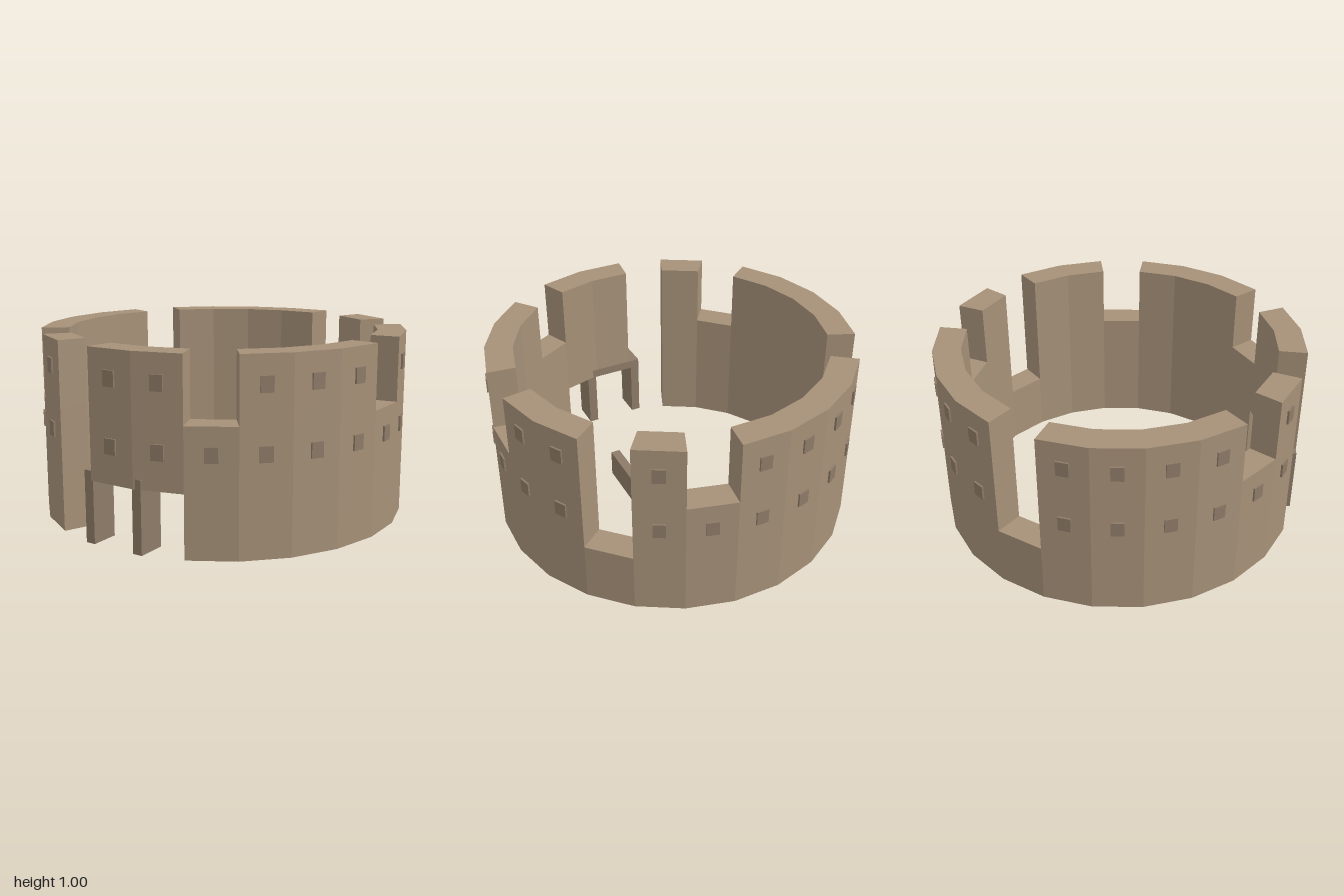
import * as THREE from 'three';

const SIDES = 24, STEP = (Math.PI * 2) / SIDES;
const APOTHEM = 0.99;
const OUTER = APOTHEM / Math.cos(STEP / 2);
const INNER = 0.84 / Math.cos(STEP / 2);
const LEVELS = [0, 0.33, 0.66, 1];

// Which of the three courses each wall segment keeps (segment 0 faces front, counting toward +x)
const cutSegments = {
  1: [0, 1, 1],  // doorway
  0: [0, 1, 1],
  23: [0, 0, 0], // full breach beside the door
  2: [1, 1, 0], 6: [1, 1, 0], 11: [1, 1, 0], 21: [1, 1, 0], // shallow gaps
  9: [1, 0, 0], 16: [1, 0, 0], // deep gaps
};
const courses = (k) => cutSegments[(k + SIDES) % SIDES] ?? [1, 1, 1];

// Ring wall: every kept cell adds only its exposed faces
function wallGeometry() {
  const pos = [];
  const quad = (a, b, c, d) => pos.push(...a, ...b, ...c, ...a, ...c, ...d);
  for (let k = 0; k < SIDES; k++) {
    for (let l = 0; l < 3; l++) {
      if (!courses(k)[l]) continue;
      const corner = (r, side, up) => {
        const t = (k - 0.5 + side) * STEP;
        return [r * Math.sin(t), LEVELS[l + up], r * Math.cos(t)];
      };
      const o = (s, u) => corner(OUTER, s, u);
      const i = (s, u) => corner(INNER, s, u);
      quad(o(0, 0), o(1, 0), o(1, 1), o(0, 1));
      quad(i(1, 0), i(0, 0), i(0, 1), i(1, 1));
      if (!courses(k)[l + 1]) quad(o(0, 1), o(1, 1), i(1, 1), i(0, 1));
      if (!courses(k)[l - 1]) quad(i(0, 0), i(1, 0), o(1, 0), o(0, 0));
      if (!courses(k + 1)[l]) quad(o(1, 0), i(1, 0), i(1, 1), o(1, 1));
      if (!courses(k - 1)[l]) quad(i(0, 0), o(0, 0), o(0, 1), i(0, 1));
    }
  }
  const geo = new THREE.BufferGeometry();
  geo.setAttribute('position', new THREE.Float32BufferAttribute(pos, 3));
  geo.computeVertexNormals();
  return geo;
}

export function createModel() {
  const model = new THREE.Group();
  model.name = 'ruinedRoundTower';
  const stone = new THREE.MeshStandardMaterial({ color: 0xa69178, flatShading: true });
  const darkStone = new THREE.MeshStandardMaterial({ color: 0x8e7b68, flatShading: true });

  const wall = new THREE.Mesh(wallGeometry(), stone);
  wall.name = 'ringWall';
  model.add(wall);

  // Box given by its extents on each axis
  const block = (name, [x0, x1], [y0, y1], [z0, z1], parent = model) => {
    const mesh = new THREE.Mesh(new THREE.BoxGeometry(x1 - x0, y1 - y0, z1 - z0), darkStone);
    mesh.position.set((x0 + x1) / 2, (y0 + y1) / 2, (z0 + z1) / 2);
    mesh.name = name;
    parent.add(mesh);
  };

  // Door frame
  const door = new THREE.Group();
  door.name = 'doorFrame';
  model.add(door);
  const doorDepth = [0.832, 0.987];
  block('doorPostRight', [-0.175, -0.122], [0, 0.33], doorDepth, door);
  block('doorPostLeft', [0.122, 0.175], [0, 0.33], doorDepth, door);
  block('doorLintel', [-0.175, 0.175], [0.33, 0.38], doorDepth, door);

  // Low remains of the inner walls
  block('innerCrossWall', [-0.385, 0.385], [0, 0.18], [-0.412, -0.362]);
  block('innerSideWall', [0.215, 0.267], [0, 0.155], [-0.362, 0.272]);

  // Window blocks on the middle and upper course of each standing segment
  const windows = new THREE.Group();
  windows.name = 'windows';
  model.add(windows);
  const windowGeo = new THREE.BoxGeometry(0.066, 0.08, 0.02);
  for (let k = 0; k < SIDES; k++) {
    [[1, 0.523], [2, 0.857]].forEach(([level, y]) => {
      if (!courses(k)[level]) return;
      const pane = new THREE.Mesh(windowGeo, darkStone);
      pane.name = 'window';
      pane.position.set(Math.sin(k * STEP) * APOTHEM, y, Math.cos(k * STEP) * APOTHEM);
      pane.rotation.y = k * STEP;
      windows.add(pane);
    });
  }
  return model;
}
